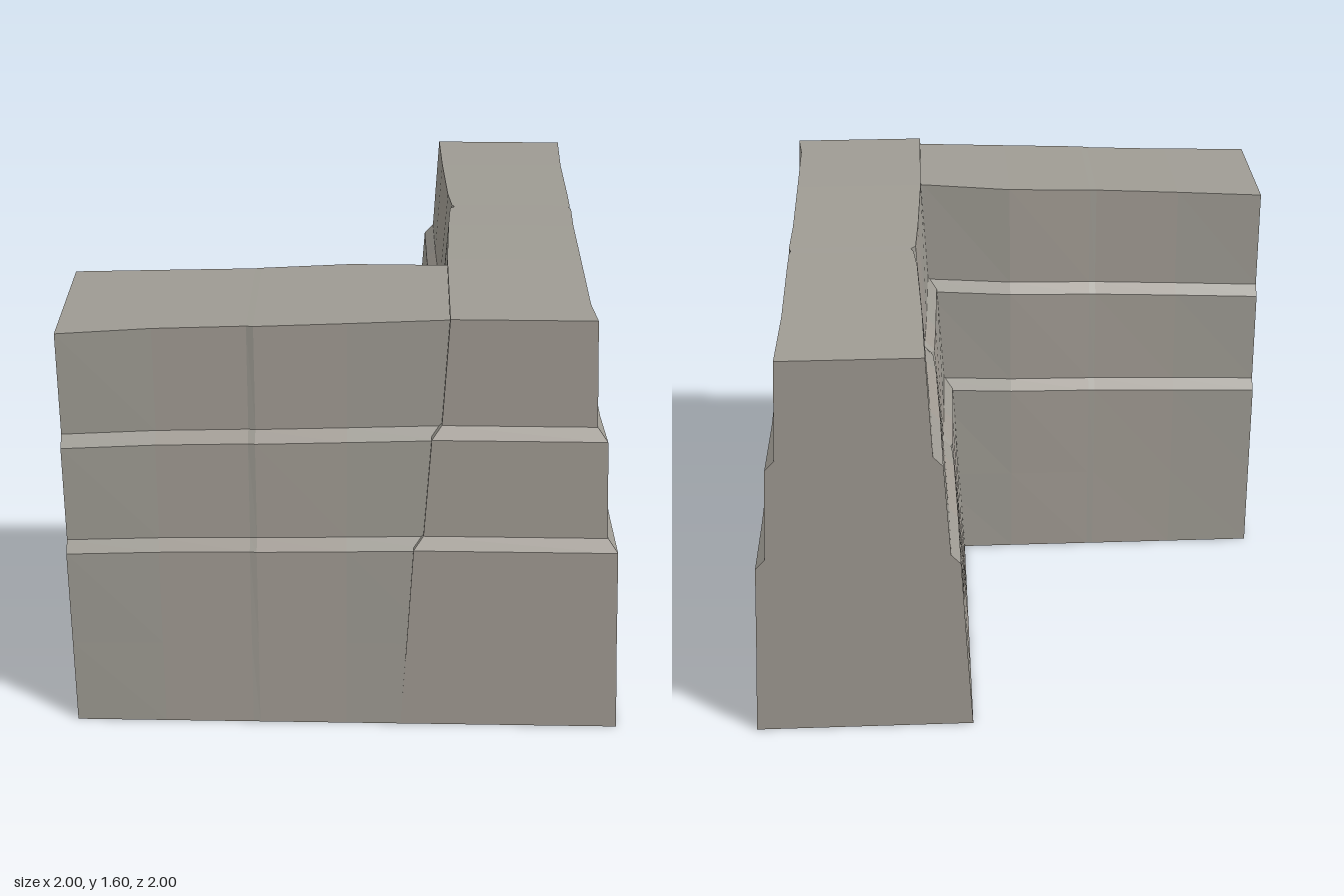
import * as THREE from 'three';

// Batter of the wall: [height, inset from the base line], with two sloped ledges
const LEVELS = [
  [0, 0], [0.35, 0.019], [0.74, 0.038], [0.78, 0.073],
  [1.16, 0.095], [1.2, 0.13], [1.6, 0.15],
];
const INNER = 0.2, OUTER = 1, TOP = 1.6;

const coolStone = new THREE.MeshStandardMaterial({ color: 0x9e9b93 });
coolStone.name = 'coolStone';
const warmStone = new THREE.MeshStandardMaterial({ color: 0xa19b93 });
warmStone.name = 'warmStone';

// Stations run from the corner to the free end:
// at = position along the leg, drop = height scale, inX / outX = extra inset at
// the top of each face, warm = stone tone of the following column.
const backLeg = [
  { at: 1, drop: 1, inX: 0, outX: 0, mitre: true },
  { at: 0.72, drop: 1, inX: 0, outX: 0.015 },
  { at: 0.35, drop: 0.998, inX: 0, outX: 0.018 },
  { at: 0.0, drop: 0.988, inX: 0.012, outX: 0.018, warm: true },
  { at: -0.18, drop: 0.982, inX: 0.022, outX: 0.012 },
  { at: -0.2, drop: 0.981, inX: 0.04, outX: 0.02 },
  { at: -0.22, drop: 0.98, inX: 0.03, outX: 0.014 },
  { at: -0.34, drop: 0.977, inX: 0.017, outX: 0.013, warm: true },
  { at: -0.7, drop: 0.966, inX: 0.002, outX: 0.013 },
  { at: -1, drop: 0.956, inX: -0.005, outX: 0.002 },
];
const sideLeg = [
  { at: 0.45, drop: 0.994, inX: 0.03, outX: 0.025 },
  { at: 0.34, drop: 0.991, inX: 0.028, outX: 0.025 },
  { at: 0, drop: 0.982, inX: -0.004, outX: 0.02, warm: true },
  { at: -0.32, drop: 0.974, inX: 0.008, outX: 0.016 },
  { at: -0.345, drop: 0.973, inX: 0.01, outX: 0.022, warm: true },
  { at: -0.67, drop: 0.965, inX: 0.002, outX: 0.022 },
  { at: -1, drop: 0.956, inX: -0.008, outX: 0.002 },
];

// Closed cross-section: up the outer face, then down the inner face
function crossSection(st, alongX) {
  const point = ([y, inset], outer) => {
    const weight = y / TOP;
    const s = outer ? OUTER - inset - st.outX * weight : INNER + inset + st.inX * weight;
    const t = st.mitre ? st.at - inset : st.at;
    return alongX ? [t, y * st.drop, s] : [s, y * st.drop, t];
  };
  return [
    ...LEVELS.map((l) => point(l, true)),
    ...LEVELS.map((l) => point(l, false)).reverse(),
  ];
}

function wallLeg(name, stations, alongX) {
  const position = [];
  const geometry = new THREE.BufferGeometry();
  const quad = (a, b, c, d, warm) => {
    geometry.addGroup(position.length / 3, 6, warm ? 1 : 0);
    const corners = alongX ? [a, c, b, a, d, c] : [a, b, c, a, c, d];
    corners.forEach((p) => position.push(...p));
  };
  const rings = stations.map((st) => crossSection(st, alongX));
  const n = rings[0].length;

  // Faces, top and underside, column by column
  for (let k = 0; k < rings.length - 1; k++) {
    const A = rings[k], B = rings[k + 1];
    for (let i = 0; i < n; i++) {
      const j = (i + 1) % n;
      const flat = i === LEVELS.length - 1 || i === n - 1;
      quad(A[i], B[i], B[j], A[j], stations[k].warm && !flat);
    }
  }
  // End faces
  const first = rings[0], last = rings[rings.length - 1];
  for (let i = 0; i < LEVELS.length - 1; i++) {
    const m = n - 1 - i;
    quad(first[i], first[i + 1], first[m - 1], first[m], true);
    quad(last[m], last[m - 1], last[i + 1], last[i], !alongX);
  }

  geometry.setAttribute('position', new THREE.Float32BufferAttribute(position, 3));
  geometry.computeVertexNormals();
  const mesh = new THREE.Mesh(geometry, [coolStone, warmStone]);
  mesh.name = name;
  return mesh;
}

export function createModel() {
  const wall = new THREE.Group();
  wall.name = 'cornerWall';
  wall.add(wallLeg('cornerAndBackLeg', backLeg, false));
  wall.add(wallLeg('sideLeg', sideLeg, true));
  return wall;
}
